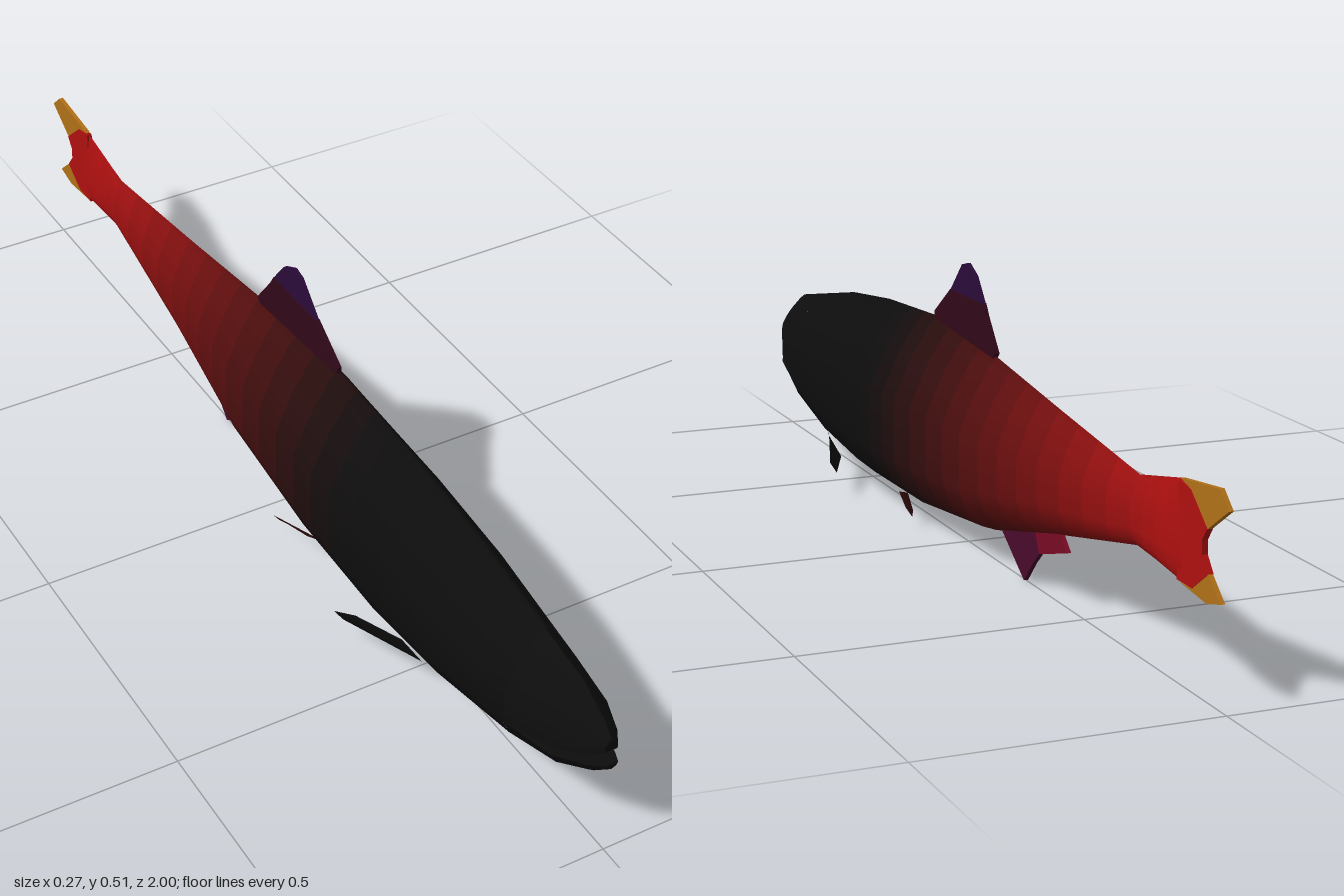
import * as THREE from 'three';
import { toCreasedNormals } from 'three/addons/utils/BufferGeometryUtils.js';

// Half cross-section, as fractions of half width and height, from back ridge to belly
const PROFILE = [[0, 1], [0.2, 0.9], [0.59, 0.6], [1, 0.17], [1, -0.48], [0.78, -0.76], [0.36, -0.94], [0, -1]];
const LIP = -0.48;

// One closed ring; station = [z, half width, top, upper lip, lower lip, bottom]
function ring([z, w, top, upper, lower, bottom], from, to) {
  const half = PROFILE.slice(from, to).map(([px, n]) => new THREE.Vector3(
    px * w,
    n >= LIP && from === 0 ? upper + (top - upper) * (n - LIP) / (1 - LIP)
      : bottom + (lower - bottom) * (n + 1) / (1 + LIP),
    z));
  const other = half.filter((p) => p.x > 0).reverse().map((p) => new THREE.Vector3(-p.x, p.y, z));
  return [...half, ...other];
}

// Skin through rings running from front to back
function loft(rings, capFront, capBack) {
  const n = rings[0].length, last = (rings.length - 1) * n, index = [];
  for (let i = 0; i < rings.length - 1; i++) {
    for (let j = 0; j < n; j++) {
      const a = i * n + j, b = i * n + (j + 1) % n;
      index.push(a, b, a + n, b, b + n, a + n);
    }
  }
  for (let j = 1; j < n - 1; j++) {
    if (capFront) index.push(0, j + 1, j);
    if (capBack) index.push(last, last + j, last + j + 1);
  }
  const geo = new THREE.BufferGeometry().setFromPoints(rings.flat());
  geo.setIndex(index);
  geo.computeVertexNormals();
  return geo;
}

const material = (color, side = THREE.FrontSide) => new THREE.MeshStandardMaterial({ color, side });

// Black at the head, deepening to red towards the tail
function skinColor(z) {
  const t = THREE.MathUtils.clamp((0.35 - z) / 1.15, 0, 1);
  return new THREE.Color(0x0d0d0d).lerp(new THREE.Color(0xb01010), t * t);
}

function createModel() {
  const model = new THREE.Group();
  const add = (name, geo, mat) => {
    const mesh = new THREE.Mesh(geo, mat);
    mesh.name = name;
    model.add(mesh);
  };

  // Body: z, half width, top, bottom
  const stations = [
    [0.8, 0.068, 0.315, 0.082], [0.6, 0.084, 0.353, 0.045], [0.4, 0.09, 0.375, 0.026],
    [0.15, 0.087, 0.388, 0.028], [-0.13, 0.072, 0.366, 0.055], [-0.4, 0.043, 0.331, 0.118],
    [-0.7, 0.018, 0.294, 0.18], [-0.855, 0.006, 0.326, 0.163],
  ];
  const rings = [], zs = [];
  const STEPS = 4;
  for (let i = 0; i < stations.length; i++) {
    const steps = i < stations.length - 1 ? STEPS : 1;
    for (let s = 0; s < steps; s++) {
      const [z, w, top, bottom] = stations[i].map((v, k) =>
        s ? THREE.MathUtils.lerp(v, stations[i + 1][k], s / steps) : v);
      const lip = bottom + (top - bottom) * (1 + LIP) / 2;
      rings.push(ring([z, w, top, lip, lip, bottom], 0, 8));
      zs.push(z);
    }
  }
  const body = loft(rings, false, false);
  const perBand = rings[0].length * 6, skins = [];
  for (let i = 0; i < rings.length - 1; i++) {
    body.addGroup(i * perBand, perBand, i);
    skins.push(material(skinColor((zs[i] + zs[i + 1]) / 2)));
  }
  add('body', body, skins);

  // Jaws, parted by the open mouth
  const jaws = [
    [0.995, 0.012, 0.238, 0.215, 0.19, 0.18], [0.97, 0.028, 0.262, 0.195, 0.176, 0.152],
    [0.91, 0.05, 0.294, 0.17, 0.155, 0.117], [0.8, 0.068, 0.315, 0.143, 0.143, 0.082],
  ];
  const black = material(0x0d0d0d);
  add('upperJaw', toCreasedNormals(loft(jaws.map((s) => ring(s, 0, 5)), true, false), 0.8), black);
  const lower = jaws.map((s) => ring(s, 4, 8));
  lower[0].forEach((p) => { p.z = 1; });
  add('lowerJaw', toCreasedNormals(loft(lower, true, false), 0.8), black);

  // Upright fins: outline points are [z, y]
  const uprightFin = (name, color, thickness, outline) => {
    const shape = new THREE.Shape(outline.map(([z, y]) => new THREE.Vector2(z, y)));
    const geo = new THREE.ExtrudeGeometry(shape, { depth: thickness, bevelEnabled: false });
    geo.translate(0, 0, -thickness / 2).rotateY(-Math.PI / 2);
    add(name, geo, material(color));
  };
  uprightFin('dorsalFinBase', 0x300818, 0.009,
    [[0.155, 0.385], [0.155, 0.397], [0.078, 0.45], [-0.07, 0.45], [-0.083, 0.43], [-0.13, 0.372], [-0.1, 0.34], [0.1, 0.35]]);
  uprightFin('dorsalFinTip', 0x2a0a3a, 0.007,
    [[0.078, 0.45], [0.024, 0.504], [0, 0.51], [-0.035, 0.493], [-0.07, 0.45]]);
  uprightFin('analFinFront', 0x480a2c, 0.008,
    [[-0.15, 0.08], [-0.163, 0.064], [-0.26, 0], [-0.297, 0.04], [-0.324, 0.064], [-0.3, 0.11], [-0.2, 0.1]]);
  uprightFin('analFinRear', 0x780c24, 0.008,
    [[-0.324, 0.064], [-0.437, 0.096], [-0.41, 0.121], [-0.39, 0.135], [-0.3, 0.11]]);
  uprightFin('tailFin', 0xb01010, 0.01,
    [[-0.84, 0.322], [-0.88, 0.315], [-0.935, 0.268], [-0.92, 0.248], [-0.92, 0.225], [-0.94, 0.2], [-0.89, 0.165], [-0.84, 0.165]]);
  uprightFin('tailUpperTip', 0xb07018, 0.008,
    [[-0.845, 0.324], [-0.97, 0.338], [-1, 0.311], [-0.935, 0.268], [-0.88, 0.315]]);
  uprightFin('tailLowerTip', 0xb07018, 0.008,
    [[-0.85, 0.163], [-0.89, 0.165], [-0.94, 0.2], [-0.98, 0.165], [-0.935, 0.154]]);

  // Paired fins: thin leaves swept back, mirrored on both sides
  const pairedFin = (name, color, outline) => {
    for (const side of [1, -1]) {
      const geo = new THREE.BufferGeometry().setFromPoints(
        outline.map(([x, y, z]) => new THREE.Vector3(x * side, y, z)));
      const index = [];
      for (let i = 1; i < outline.length - 1; i++) index.push(0, ...(side > 0 ? [i, i + 1] : [i + 1, i]));
      geo.setIndex(index);
      geo.computeVertexNormals();
      add((side > 0 ? 'left' : 'right') + name, geo, material(color, THREE.DoubleSide));
    }
  };
  pairedFin('PectoralFin', 0x0d0d0d, [
    [0.07, 0.075, 0.56], [0.086, 0.1, 0.52], [0.117, 0.088, 0.42],
    [0.133, 0.07, 0.375], [0.118, 0.048, 0.38], [0.07, 0.05, 0.49]]);
  pairedFin('PelvicFin', 0x300a0a, [
    [0.045, 0.048, 0.19], [0.07, 0.058, 0.17], [0.088, 0.05, 0.09],
    [0.085, 0.04, 0.07], [0.078, 0.033, 0.08], [0.062, 0.035, 0.12]]);

  return model;
}

export { createModel };
